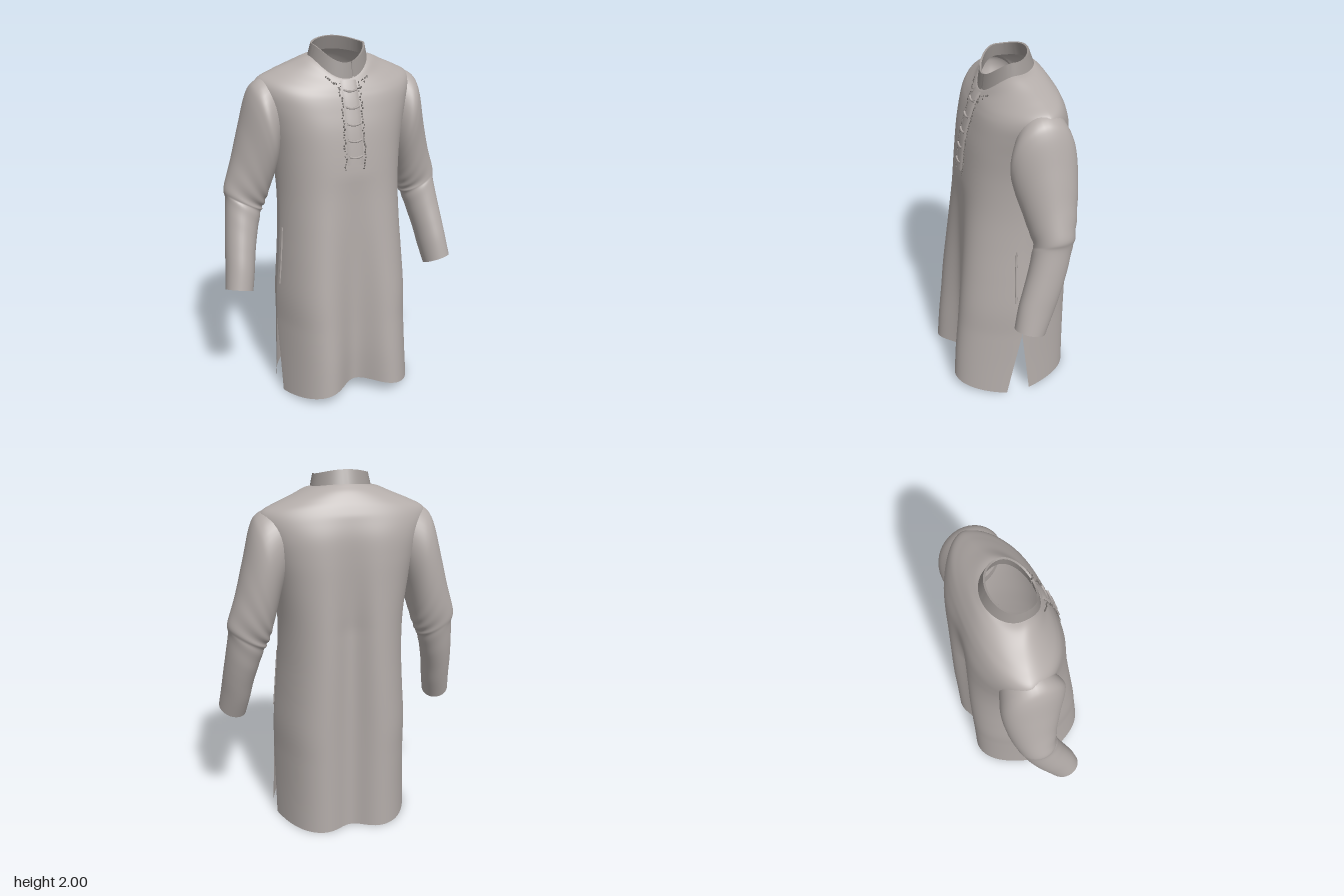
import * as THREE from 'three';
import { mergeGeometries, mergeVertices, toCreasedNormals } from 'three/addons/utils/BufferGeometryUtils.js';

const cloth = new THREE.MeshStandardMaterial({ color: 0xb3aca9, side: THREE.DoubleSide });
cloth.name = 'cloth';
const trim = new THREE.MeshStandardMaterial({ color: 0x9c9693, side: THREE.DoubleSide });
trim.name = 'collarCloth';
const thread = new THREE.MeshStandardMaterial({ color: 0x75706d });
thread.name = 'thread';

const clamp01 = (t) => Math.min(1, Math.max(0, t));

// Smooth interpolation down the columns of a table of cross-sections
function sample(rows, t) {
  const last = rows.length - 1;
  const i = Math.min(last - 1, Math.floor(t * last));
  const f = t * last - i;
  const [a, b, c, d] = [i - 1, i, i + 1, i + 2].map((k) => rows[Math.min(last, Math.max(0, k))]);
  return b.map((_, k) => b[k] + 0.5 * f * (c[k] - a[k]
    + f * (2 * a[k] - 5 * b[k] + 4 * c[k] - d[k] + f * (3 * (b[k] - c[k]) + d[k] - a[k]))));
}

// Surface patch from fn(u, v), u and v running 0..1
function grid(nu, nv, fn) {
  const pos = [], index = [];
  for (let j = 0; j <= nv; j++) {
    for (let i = 0; i <= nu; i++) {
      pos.push(...fn(i / nu, j / nv));
      if (i < nu && j < nv) {
        const a = j * (nu + 1) + i, b = a + nu + 1;
        index.push(a, a + 1, b + 1, a, b + 1, b);
      }
    }
  }
  const g = new THREE.BufferGeometry();
  g.setAttribute('position', new THREE.Float32BufferAttribute(pos, 3));
  g.setIndex(index);
  g.computeVertexNormals();
  return g;
}

// Torso levels: half width, y at side/front/back, z at side/front/back, squareness, roundness
const torsoRows = [
  [0.39, 0.0, 0.075, 0.0, 0, 0.38, -0.36, 4, 0.9],
  [0.39, 0.2, 0.25, 0.2, 0, 0.365, -0.358, 4, 0.9],
  [0.39, 0.43, 0.45, 0.43, 0, 0.34, -0.356, 4, 0.85],
  [0.387, 0.6, 0.61, 0.6, 0, 0.32, -0.355, 4, 0.8],
  [0.371, 0.8, 0.8, 0.8, 0, 0.295, -0.353, 3.8, 0.75],
  [0.357, 1.0, 1.0, 1.0, -0.01, 0.27, -0.35, 3.5, 0.7],
  [0.354, 1.2, 1.2, 1.2, -0.03, 0.245, -0.345, 3.2, 0.65],
  [0.37, 1.4, 1.4, 1.4, -0.06, 0.225, -0.335, 3, 0.6],
  [0.4, 1.55, 1.54, 1.55, -0.08, 0.205, -0.325, 3, 0.6],
  [0.43, 1.66, 1.64, 1.67, -0.09, 0.18, -0.31, 3, 0.6],
  [0.45, 1.74, 1.7, 1.76, -0.1, 0.162, -0.283, 2.8, 0.6],
  [0.435, 1.795, 1.735, 1.82, -0.1, 0.148, -0.258, 2.5, 0.6],
  [0.36, 1.835, 1.76, 1.86, -0.09, 0.137, -0.235, 2.3, 0.58],
  [0.27, 1.872, 1.782, 1.895, -0.075, 0.125, -0.21, 2.1, 0.54],
  [0.2, 1.902, 1.797, 1.918, -0.05, 0.115, -0.185, 2, 0.5],
  [0.16, 1.91, 1.803, 1.93, -0.035, 0.107, -0.17, 2, 0.5],
];

// Point on the front (dir 1) or back (dir -1) panel, s = -1..1 across
function torsoPoint(dir, s, v) {
  const [w, yS, yF, yB, zS, zF, zB, n, e] = sample(torsoRows, v);
  const y = yS + ((dir > 0 ? yF : yB) - yS) * (1 - s * s);
  const slit = clamp01(1 - yS / 0.43);
  const edge = zS + slit * (dir > 0 ? 0.09 : -0.05);
  const bulge = Math.pow(Math.max(0, 1 - Math.pow(Math.abs(s), n)), e);
  const dip = dir > 0
    ? 0.145 * clamp01(1 - y / 1.3) * Math.exp(-((s / 0.32) ** 2))
    : 0.068 * clamp01((1.78 - y) / 0.6) * Math.exp(-((s / 0.26) ** 2));
  return [w * s, y, edge + ((dir > 0 ? zF : zB) - edge) * bulge - dir * dip];
}

// Point on the front panel at a given x and y
function frontAt(x, y, lift = 0) {
  let lo = 0, hi = 1, p;
  for (let k = 0; k < 24; k++) {
    const v = (lo + hi) / 2;
    p = torsoPoint(1, Math.max(-1, Math.min(1, x / sample(torsoRows, v)[0])), v);
    if (p[1] < y) lo = v; else hi = v;
  }
  return [x, y, p[2] + lift];
}

// Sleeve rings: outer x y, inner x y, z front, z back, tilt of the front upward
const sleeveRows = [
  [0.36, 1.822, 0.33, 1.42, 0.04, -0.23, 0],
  [0.45, 1.785, 0.35, 1.34, 0.085, -0.25, 0],
  [0.495, 1.72, 0.368, 1.27, 0.08, -0.255, 0],
  [0.54, 1.55, 0.385, 1.21, 0.05, -0.25, -0.01],
  [0.59, 1.36, 0.405, 1.14, 0.02, -0.235, -0.01],
  [0.637, 1.21, 0.425, 1.09, 0.0, -0.212, 0],
  [0.634, 1.15, 0.445, 1.05, 0.01, -0.198, 0.01],
  [0.65, 1.02, 0.475, 0.95, 0.04, -0.165, 0.02],
  [0.665, 0.9, 0.5, 0.85, 0.075, -0.125, 0.025],
  [0.676, 0.8, 0.518, 0.75, 0.105, -0.085, 0.03],
  [0.692, 0.68, 0.54, 0.645, 0.13, -0.035, 0.03],
];

function sleevePoint(side, u, v) {
  const [px, py, qx, qy, zf, zb, tilt] = sample(sleeveRows, v);
  const a = u * Math.PI * 2 * side;
  // soft creases gathered round the elbow and upper arm
  const crease = 0.035 * Math.exp(-(((v - 0.5) / 0.13) ** 2)) * Math.sin(v * 75 + 2 * Math.cos(a))
    * (0.5 - 0.5 * Math.cos(a - side * 0.6));
  const c = Math.cos(a) * (1 + crease), s = Math.sin(a) * (1 + crease);
  return [side * ((px + qx) / 2 + c * (px - qx) / 2),
    (py + qy) / 2 + c * (py - qy) / 2 + s * tilt,
    (zf + zb) / 2 + s * (zf - zb) / 2];
}

export function createModel() {
  const model = new THREE.Group();
  model.name = 'tunic';
  const add = (name, geometry, material) => {
    const mesh = new THREE.Mesh(geometry, material);
    mesh.name = name;
    model.add(mesh);
    return mesh;
  };

  // Body: two panels joined above the side slits
  const panels = [1, -1].map((dir) => grid(64, 100,
    (u, v) => torsoPoint(dir, dir * Math.sin((u - 0.5) * Math.PI), v)));
  panels.forEach((g) => g.deleteAttribute('normal'));
  const body = mergeVertices(mergeGeometries(panels), 1e-4);
  body.computeVertexNormals();
  add('body', body, cloth);

  // Sleeves
  for (const side of [1, -1]) {
    const g = grid(40, 90, (u, v) => sleevePoint(side, u, v));
    g.deleteAttribute('normal');
    const sleeve = mergeVertices(g, 1e-4);
    sleeve.computeVertexNormals();
    add(side > 0 ? 'leftSleeve' : 'rightSleeve', sleeve, cloth);
  }

  // Standing collar with a narrow front opening
  // profile: radius x, y side/front/back, z side/front/back
  const collarRows = [
    [0.163, 1.905, 1.797, 1.925, -0.035, 0.112, -0.174],
    [0.148, 1.972, 1.882, 2.0, -0.03, 0.1, -0.145],
    [0.138, 1.97, 1.881, 1.997, -0.03, 0.09, -0.135],
    [0.15, 1.905, 1.8, 1.925, -0.035, 0.1, -0.16],
  ];
  const collar = grid(72, 3, (u, v) => {
    const [r, yS, yF, yB, zS, zF, zB] = collarRows[Math.round(v * 3)];
    const a = 0.25 + u * (Math.PI * 2 - 0.07);
    const c = Math.cos(a);
    return [r * Math.sin(a), yS + ((c > 0 ? yF : yB) - yS) * c * c,
      zS + Math.abs(c) * ((c > 0 ? zF : zB) - zS)];
  });
  add('collar', toCreasedNormals(collar, 0.8), trim);

  // Button placket
  add('placket', grid(8, 24, (u, v) => frontAt((u - 0.5) * 0.09, 1.36 + v * 0.435,
    0.008 * Math.sin(Math.PI * clamp01(u)) ** 0.4)), cloth);

  // Cord loops across the placket
  for (let i = 0; i < 5; i++) {
    const y = 1.41 + i * 0.085;
    const path = new THREE.CatmullRomCurve3([-0.038, -0.015, 0.015, 0.038].map((x, k) =>
      new THREE.Vector3(...frontAt(x, y - (k % 3 ? 0.008 : 0), 0.009))));
    add('cordLoop', new THREE.TubeGeometry(path, 10, 0.006, 6), cloth);
  }

  // Embroidery stitches beside the placket and under the collar
  let seed = 7;
  const rand = () => (seed = (seed * 16807) % 2147483647) / 2147483647;
  const stitches = new THREE.Group();
  stitches.name = 'embroidery';
  const stitchShape = new THREE.IcosahedronGeometry(0.006, 0);
  const stitch = (x, y) => {
    const m = new THREE.Mesh(stitchShape, thread);
    m.name = 'stitch';
    m.position.set(...frontAt(x, y, 0.002));
    m.scale.set(0.5 + rand() * 0.6, 0.5 + rand(), 0.6);
    stitches.add(m);
  };
  for (const side of [1, -1]) {
    for (let i = 0; i < 32; i++) stitch(side * (0.048 + rand() * 0.014), 1.34 + i * 0.0142);
    for (let i = 0; i < 8; i++) stitch(side * (0.06 + i * 0.008), 1.775 + i * 0.006 - rand() * 0.025);
  }
  model.add(stitches);

  // Side pocket welts
  for (const side of [1, -1]) {
    const path = new THREE.CatmullRomCurve3([0.22, 0.25, 0.28, 0.31, 0.33].map((v) =>
      new THREE.Vector3(...torsoPoint(1, side * 0.985, v))));
    add('pocketWelt', new THREE.TubeGeometry(path, 16, 0.006, 6), cloth);
  }
  return model;
}
